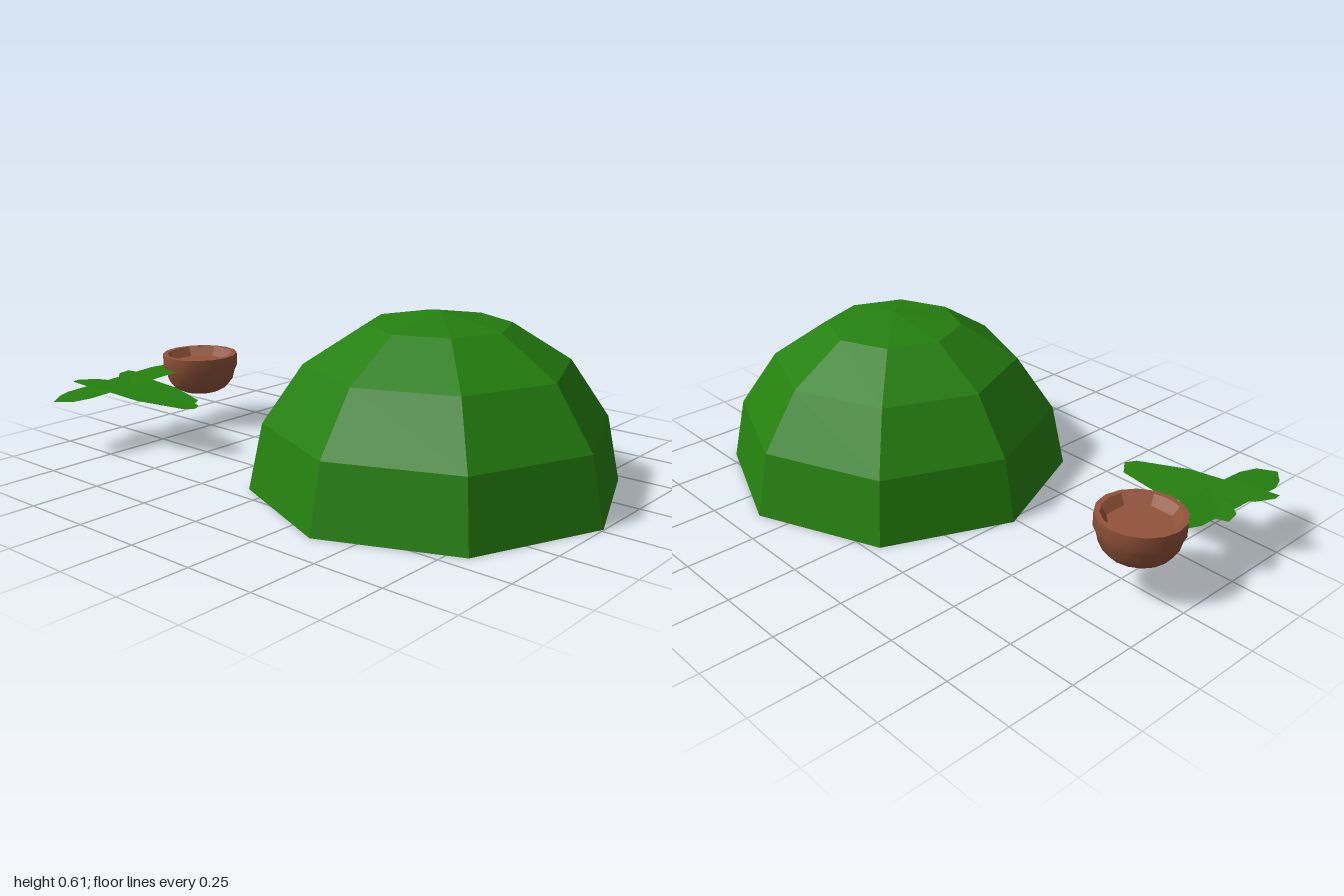
import * as THREE from 'three';
import { toCreasedNormals } from 'three/addons/utils/BufferGeometryUtils.js';

const DS = THREE.DoubleSide;

// Lathe from [radius, height] pairs
function lathe(points, sides, start = 0) {
  return new THREE.LatheGeometry(points.map(([r, y]) => new THREE.Vector2(r, y)), sides, start);
}

// Faceted version of a geometry
function facet(geometry) {
  const g = geometry.toNonIndexed();
  g.computeVertexNormals();
  return g;
}

// Flat sheet from an [x, z] outline, lifted to the height given by a rule
function sheet(outline, height) {
  const shape = new THREE.Shape(outline.map(([x, z]) => new THREE.Vector2(x, -z)));
  const g = new THREE.ShapeGeometry(shape);
  const p = g.attributes.position;
  for (let i = 0; i < p.count; i++) {
    const x = p.getX(i), z = -p.getY(i);
    p.setXYZ(i, x, height(x, z), z);
  }
  g.computeVertexNormals();
  return g;
}

export function createModel() {
  const green = new THREE.MeshStandardMaterial({ color: 0x25800f, side: DS });
  green.name = 'leaf green';
  const brown = new THREE.MeshStandardMaterial({ color: 0x92533a, side: DS });
  brown.name = 'clay brown';

  const model = new THREE.Group();
  const add = (name, geometry, material, parent = model) => {
    const mesh = new THREE.Mesh(geometry, material);
    mesh.name = name;
    parent.add(mesh);
    return mesh;
  };

  // Hollow eight-sided dome, open below
  const dome = add('dome', facet(lathe(
    [[0.635, 0], [0.587, 0.23], [0.45, 0.43], [0.245, 0.56], [0, 0.605]], 8)), green);
  dome.position.set(0.363, 0, -0.015);

  // Round bowl with a shallow recess
  const bowl = new THREE.Group();
  bowl.name = 'bowl';
  bowl.position.set(-0.82, 0, -0.015);
  model.add(bowl);
  add('bowlBody', toCreasedNormals(lathe(
    [[0, 0.135], [0.075, 0.135], [0.105, 0.151], [0.128, 0.18], [0.137, 0.215], [0.147, 0.236],
      [0.147, 0.285], [0.128, 0.285]], 16), 0.7), brown, bowl);
  add('bowlRecess', facet(lathe(
    [[0, 0.25], [0.11, 0.25], [0.138, 0.284]].reverse(), 8, Math.PI / 8)), brown, bowl);

  // Long leaf running out from under the bowl
  add('longLeaf', sheet([
    [-0.87, 0.02], [-0.82, 0.06], [-0.8, 0.13], [-0.8, 0.535], [-0.82, 0.604],
    [-0.88, 0.642], [-0.923, 0.588], [-0.944, 0.535], [-0.944, 0.13], [-0.923, 0.07],
  ], (x, z) => 0.237 - 0.055 * (z - 0.08)), green);

  // Two thin layers of the crossing leaf, parting towards the tip
  const crossOutline = [
    [-0.981, 0.219], [-0.944, 0.209], [-0.8, 0.235], [-0.677, 0.235], [-0.505, 0.28],
    [-0.484, 0.31], [-0.505, 0.348], [-0.677, 0.422], [-0.8, 0.438], [-0.944, 0.465],
    [-0.997, 0.47], [-1, 0.444], [-0.965, 0.385], [-0.88, 0.337], [-0.939, 0.3], [-0.97, 0.273],
  ];
  [['upperCrossLeaf', 0.232, 0.055], ['lowerCrossLeaf', 0.23, 0.092]].forEach(([name, y, slope]) =>
    add(name, sheet(crossOutline, (x) => y - slope * (x + 1)), green));

  return model;
}
